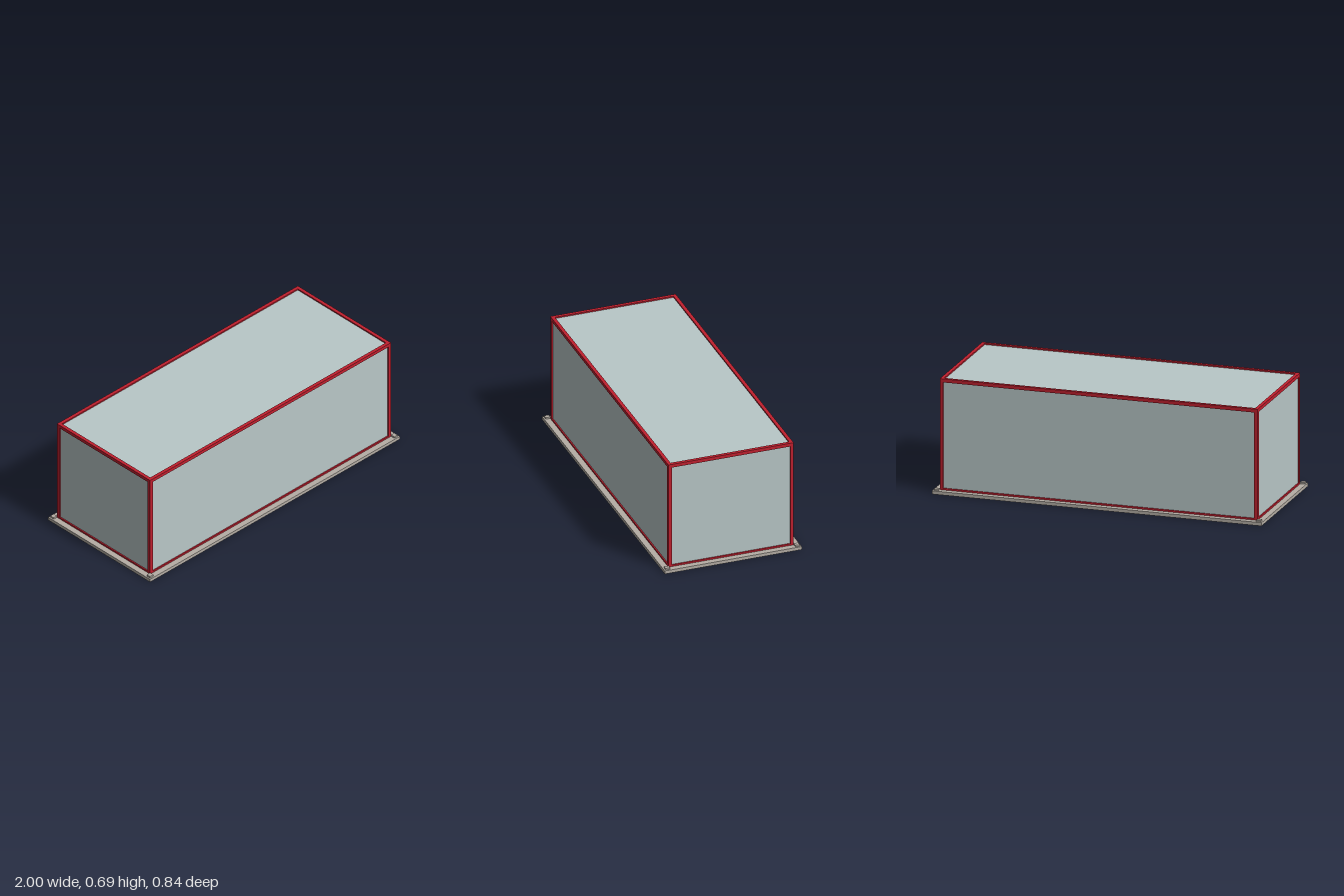
import * as THREE from 'three';

const mat = (name, color) => {
  const m = new THREE.MeshStandardMaterial({ color });
  m.name = name;
  return m;
};

export function createModel() {
  const group = new THREE.Group();
  const red = mat('frame red', 0xc01f2e);
  const glass = mat('panel grey green', 0xb9c8c8);
  const stone = mat('base stone', 0xb5aea5);

  const box = (name, material, size, pos) => {
    const mesh = new THREE.Mesh(new THREE.BoxGeometry(...size), material);
    mesh.name = name;
    mesh.position.set(...pos);
    group.add(mesh);
  };

  const X = 0.964, Z = 0.385, Y0 = 0.02, Y1 = 0.687; // frame outer limits
  const T = 0.021, B = 0.01; // bar width, bottom rail height
  const inset = 0.008;

  // Base slab
  box('base', stone, [2, 0.02, 0.842], [0, 0.01, 0]);

  // Enclosed body, recessed behind the frame
  box('panels', glass, [2 * (X - inset), Y1 - inset - Y0, 2 * (Z - inset)],
    [0, (Y0 + Y1 - inset) / 2, 0]);

  for (const s of [-1, 1]) {
    // Long rails along the front and back
    box('longTopRail', red, [2 * X, T, T], [0, Y1 - T / 2, s * (Z - T / 2)]);
    box('longBottomRail', red, [2 * X, B, T], [0, Y0 + B / 2, s * (Z - T / 2)]);
    // Short rails along the sides, between the long ones
    box('sideTopRail', red, [T, T, 2 * (Z - T)], [s * (X - T / 2), Y1 - T / 2, 0]);
    box('sideBottomRail', red, [T, B, 2 * (Z - T)], [s * (X - T / 2), Y0 + B / 2, 0]);
    for (const t of [-1, 1]) {
      // Corner posts and the small pads on the base beside them
      box('cornerPost', red, [T, Y1 - Y0 - T - B, T],
        [s * (X - T / 2), (Y0 + B + Y1 - T) / 2, t * (Z - T / 2)]);
      box('cornerPad', stone, [0.027, 0.01, 0.027],
        [s * (X + 0.0135), 0.025, t * (Z + 0.0135)]);
    }
  }
  return group;
}
